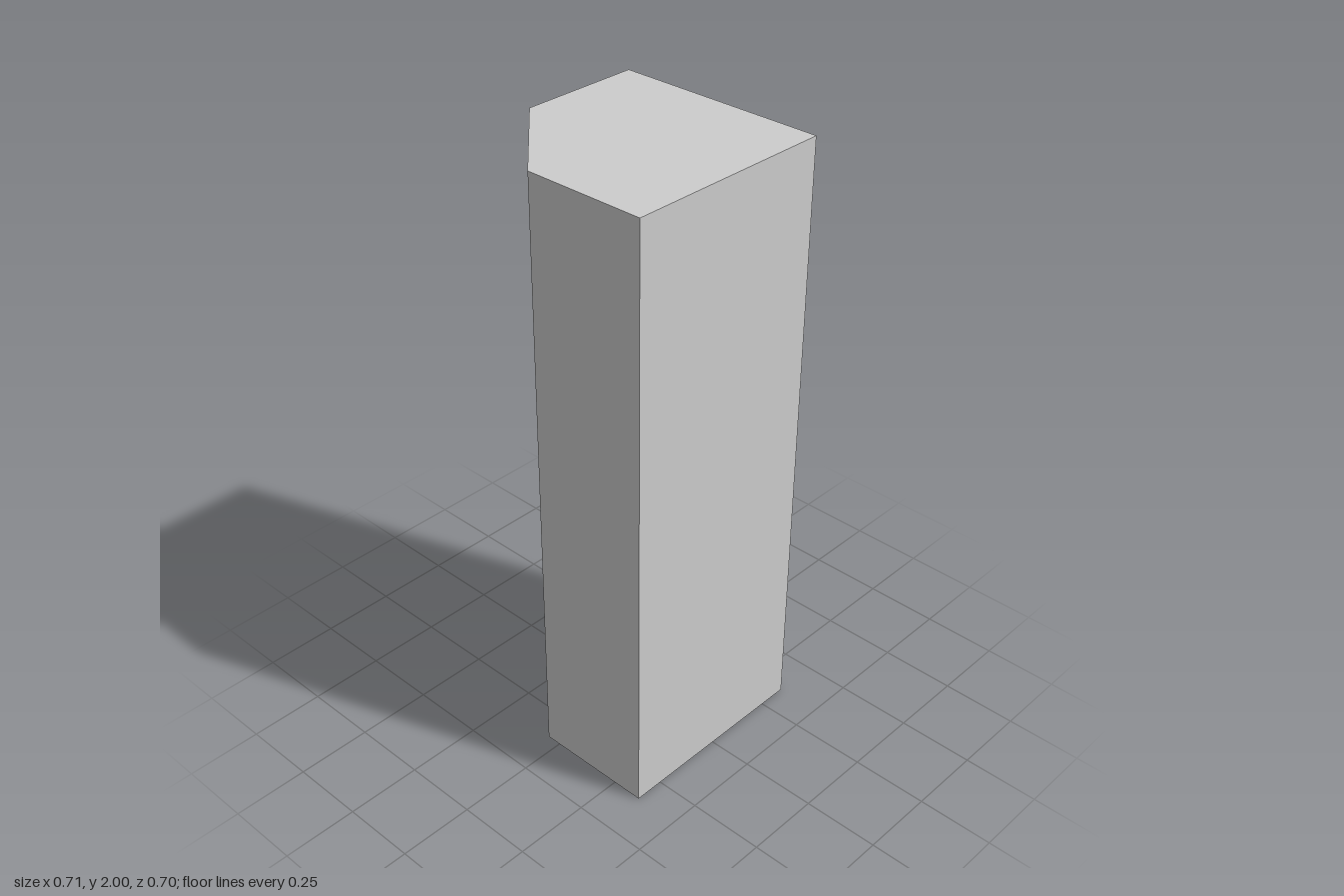
import * as THREE from 'three';

const W = 0.353, D = 0.349, H = 2; // half width, half depth, height
const T = 0.006;                   // panel thickness
const CX = -0.05, CZ = 0.055;      // ends of the open diagonal corner

export function createModel() {
  const group = new THREE.Group();
  const grey = new THREE.MeshStandardMaterial({ color: 0xcccccc });
  grey.name = 'light grey';

  // Extrudes a plan outline of [x, z] points upwards from height y
  function slab(name, points, y, height) {
    const shape = new THREE.Shape(points.map(([x, z]) => new THREE.Vector2(x, -z)));
    const geo = new THREE.ExtrudeGeometry(shape, { depth: height, bevelEnabled: false });
    geo.rotateX(-Math.PI / 2);
    const mesh = new THREE.Mesh(geo, grey);
    mesh.name = name;
    mesh.position.y = y;
    group.add(mesh);
  }

  // Five-sided plan: inset from the walls, with the diagonal set further back
  const plan = (inset, setback) => [
    [-W + inset, CZ + inset - setback], [CX - inset + setback, D - inset],
    [W - inset, D - inset], [W - inset, -D + inset], [-W + inset, -D + inset],
  ];

  // Walls wrap four sides and leave the diagonal open
  const outer = plan(0, 0);
  const inner = plan(T, 0);
  slab('walls', [...outer.slice(1), outer[0], inner[0], ...inner.slice(1).reverse()], T, H - 2 * T);

  // Closed top and bottom
  slab('bottomPanel', outer, 0, T);
  slab('topPanel', outer, H - T, T);

  // Shelves, slightly behind the opening
  for (const y of [0.55, 1.02, 1.52]) slab('shelf', plan(T, 0.03), y - 0.005, 0.01);

  return group;
}
